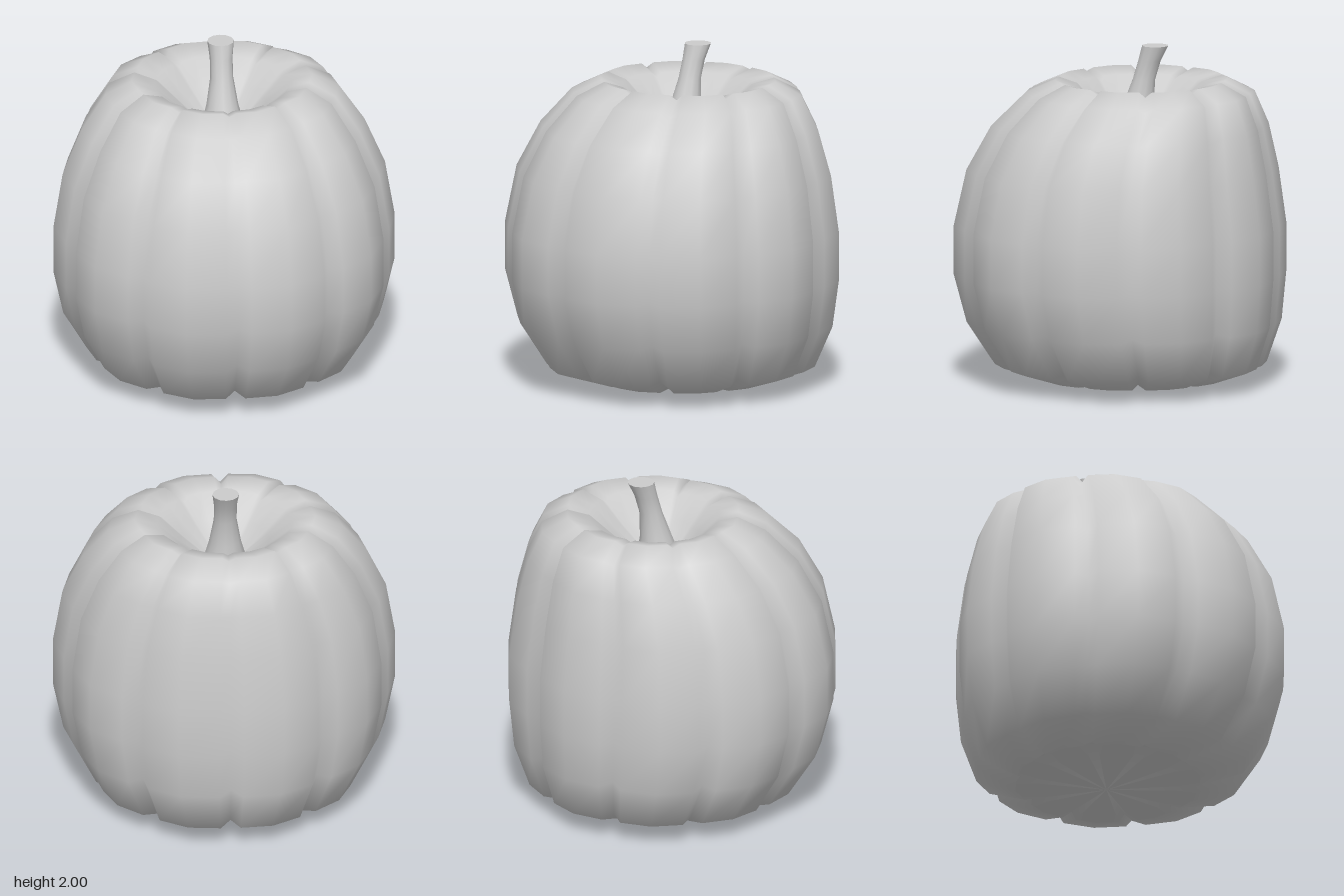
import * as THREE from 'three';

// Joins closed rings (arrays of [x, y, z], listed bottom to top) into a smooth skin.
function loft(rings) {
  const n = rings[0].length;
  const index = [];
  for (let r = 0; r < rings.length - 1; r++) {
    for (let i = 0; i < n; i++) {
      const a = r * n + i, b = r * n + (i + 1) % n;
      index.push(a, b, b + n, a, b + n, a + n);
    }
  }
  const geometry = new THREE.BufferGeometry();
  geometry.setAttribute('position', new THREE.Float32BufferAttribute(rings.flat(2), 3));
  geometry.setIndex(index);
  geometry.computeVertexNormals();
  return geometry;
}

const RIBS = 10;
// One rib across its width: [degrees, radius factor, groove amount]
const RIB = [[0, 0.918, 1], [4.3, 0.975, 0], [18, 1, 0], [31.7, 0.975, 0]];

// Ribbed ring with half width hx, half depth hz, height y and centre z
function ribbedRing([hx, hz, y, cz, depth = 1]) {
  const ring = [];
  for (let k = 0; k < RIBS; k++) {
    for (const [deg, factor, groove] of RIB) {
      const a = THREE.MathUtils.degToRad(k * 360 / RIBS + deg);
      const f = 1 - (1 - factor) * depth;
      const gy = y - (y - 0.9) * 0.04 * groove * depth;
      ring.push([Math.sin(a) * hx * f, gy, Math.cos(a) * hz * f + cz]);
    }
  }
  return ring;
}

function roundRing([radius, y, cz], sides = 12) {
  return Array.from({ length: sides }, (_, i) => {
    const a = i / sides * Math.PI * 2;
    return [Math.sin(a) * radius, y, Math.cos(a) * radius + cz];
  });
}

export function createModel() {
  const group = new THREE.Group();
  const material = new THREE.MeshStandardMaterial({ color: 0xcccccc });
  const add = (name, geometry) => {
    const mesh = new THREE.Mesh(geometry, material);
    mesh.name = name;
    group.add(mesh);
  };

  // Ribbed body, from the underside up the wall, over the rim and into the hollow
  const body = [
    [0.55, 0.55, 0.04, -0.08],
    [0.80, 0.795, 0.12, -0.065],
    [0.94, 0.92, 0.37, -0.025],
    [1.00, 0.97, 0.65, 0],
    [1.00, 0.97, 0.94, 0],
    [0.945, 0.91, 1.27, -0.015],
    [0.83, 0.81, 1.53, -0.06],
    [0.685, 0.67, 1.725, -0.12],
    [0.53, 0.505, 1.80, -0.13],
    [0.40, 0.38, 1.765, -0.12, 0.7],
    [0.26, 0.25, 1.64, -0.11, 0.4],
    [0.12, 0.12, 1.52, -0.09, 0],
    [0, 0, 1.50, -0.09, 0],
  ];
  add('body', loft(body.map(ribbedRing)));

  // Shallow underside
  add('base', loft([ribbedRing([0, 0, 0, -0.09, 0]), ribbedRing(body[0])]));

  // Flared stem leaning backwards
  const stem = [
    [0.13, 1.50, -0.09],
    [0.093, 1.64, -0.11],
    [0.067, 1.80, -0.145],
    [0.067, 1.91, -0.178],
    [0.078, 2.00, -0.212],
  ];
  add('stem', loft(stem.map((s) => roundRing(s))));
  add('stemTop', loft([roundRing(stem[4]), roundRing([0, 2.00, -0.212])]));

  return group;
}
